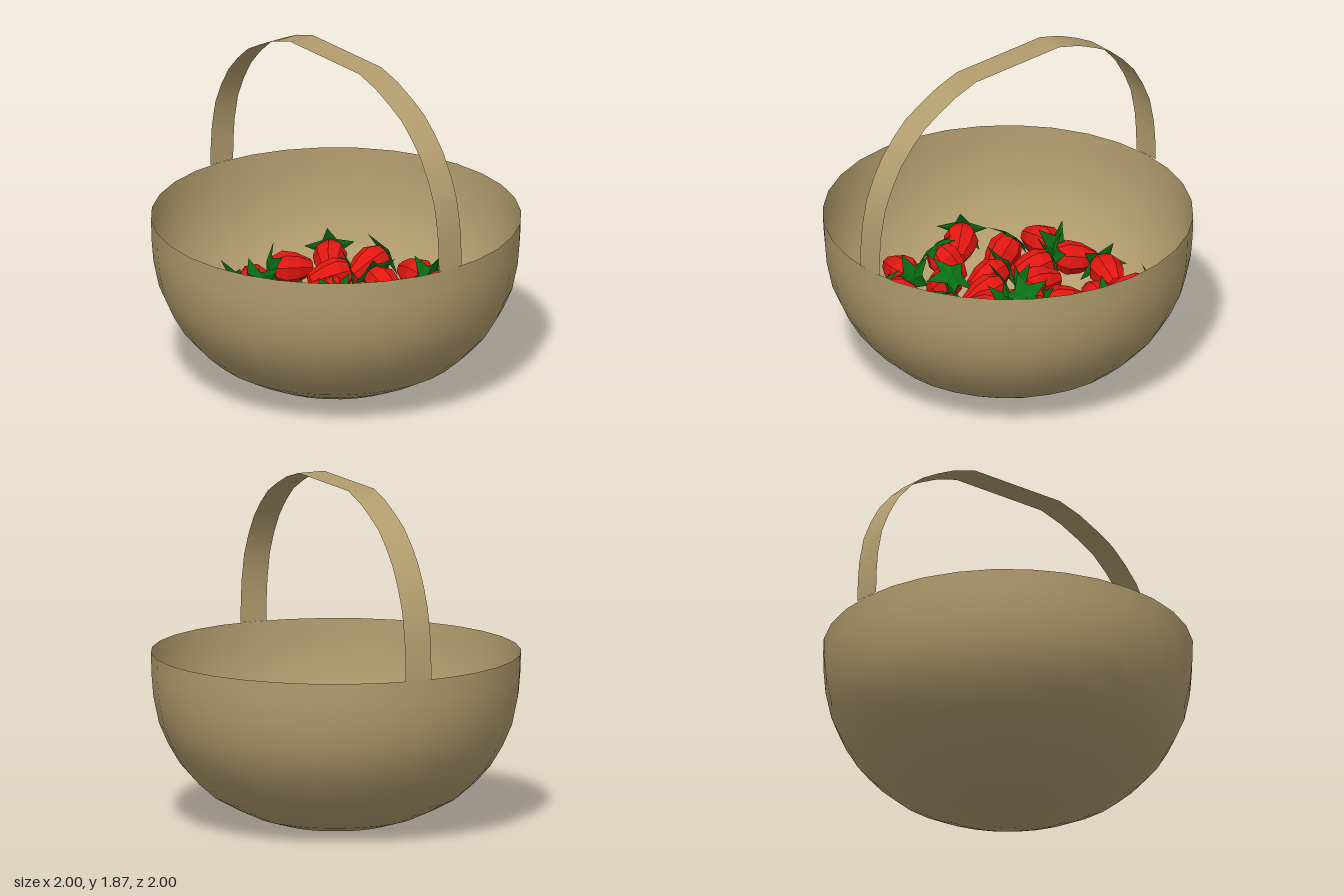
import * as THREE from 'three';

const mat = (color, opts = {}) => new THREE.MeshStandardMaterial({ color, ...opts });
const basketMat = mat(0xb39d6e, { side: THREE.DoubleSide });
const berryMat = mat(0xe01610, { flatShading: true });
const leafMat = mat(0x0a6e14, { flatShading: true, side: THREE.DoubleSide });

// Half outline shared by the bowl and, mirrored upward, by the handle: [radius, height]
const RIM = 0.935;
const PROFILE = [[0.3, 0.004], [0.44, 0.045], [0.56, 0.1], [0.67, 0.16], [0.76, 0.24],
  [0.84, 0.33], [0.905, 0.44], [0.955, 0.555], [0.985, 0.7], [0.995, 0.82], [0.998, RIM]];

// Berries seen from above: [x, z, heading of the stem end, upward pitch] in degrees
const BERRIES = [
  [-0.36, -0.56, 0, 5], [-0.11, -0.58, 120, 10], [0.15, -0.59, 200, 5], [0.38, -0.54, -50, 10],
  [-0.41, -0.32, -90, 45], [-0.21, -0.36, -75, 10], [0.27, -0.4, 20, 10], [0.5, -0.36, 0, 20],
  [-0.62, -0.21, -130, 15], [-0.53, -0.04, 150, 50], [-0.3, -0.12, -90, 10], [-0.19, 0, -80, 15],
  [0.18, -0.25, 120, 5], [0.42, -0.11, -90, 20], [0.62, -0.1, 95, 5], [0.25, 0.01, 85, 15],
  [-0.37, 0.14, 0, 55], [-0.61, 0.23, 10, 5], [-0.41, 0.39, 130, 25], [-0.17, 0.34, -90, 10],
  [0.12, 0.35, -90, 10], [0.3, 0.35, -85, 10], [0.49, 0.39, 10, 40], [0.62, 0.18, -95, 5],
  [0.4, 0.14, 180, 15], [-0.25, 0.55, 95, 50], [0.28, 0.58, 110, 50], [0.09, 0.57, 180, 15],
  [-0.08, -0.3, 100, 5], [0.16, 0.13, -90, 15], [-0.08, 0.09, -20, 20], [0.02, -0.14, 60, 35],
];

function makeBowl() {
  const points = [[0, 0], [0.2, 0], ...PROFILE].map(([r, y]) => new THREE.Vector2(r, y));
  const bowl = new THREE.Mesh(new THREE.LatheGeometry(points, 32), basketMat);
  bowl.name = 'basketBowl';
  return bowl;
}

// Flat strip following the mirrored outline from the back rim to the front rim
function makeHandle() {
  const side = PROFILE.map(([r, y]) => [r, 2 * RIM - y]);
  const path = [...side.map(([r, y]) => [-r, y]).reverse(), ...side.slice().map(([r, y]) => [r, y])];
  const geo = new THREE.PlaneGeometry(0.155, 1, 1, path.length - 1);
  const pos = geo.attributes.position;
  for (let i = 0; i < pos.count; i++) {
    const [z, y] = path[Math.floor(i / 2)];
    pos.setXYZ(i, pos.getX(i), y, z);
  }
  geo.computeVertexNormals();
  const handle = new THREE.Mesh(geo, basketMat);
  handle.name = 'basketHandle';
  return handle;
}

// Faceted berry, tip down and stem end up
const berryGeo = new THREE.LatheGeometry(
  [[0, -0.125], [0.045, -0.115], [0.083, -0.03], [0.094, 0.045], [0.065, 0.105], [0, 0.115]]
    .map(([r, y]) => new THREE.Vector2(r, y)), 8);

// Five-pointed leaf cap with drooping tips
const leafGeo = new THREE.CircleGeometry(1, 10).rotateX(-Math.PI / 2);
{
  const pos = leafGeo.attributes.position;
  for (let i = 1; i < pos.count; i++) {
    const tip = i % 2 === 1;
    const r = tip ? 0.145 : 0.065;
    pos.setXYZ(i, pos.getX(i) * r, tip ? -0.035 : -0.005, pos.getZ(i) * r);
  }
  leafGeo.translate(0, 0.122, 0);
  leafGeo.computeVertexNormals();
}

function makeBerry(x, y, z, heading, pitch, spin) {
  const h = THREE.MathUtils.degToRad(heading);
  const p = THREE.MathUtils.degToRad(pitch);
  const axis = new THREE.Vector3(Math.cos(h) * Math.cos(p), Math.sin(p), Math.sin(h) * Math.cos(p));
  const berry = new THREE.Group();
  berry.name = 'strawberry';
  const fruit = new THREE.Mesh(berryGeo, berryMat);
  fruit.name = 'fruit';
  const leaves = new THREE.Mesh(leafGeo, leafMat);
  leaves.name = 'leaves';
  leaves.rotation.y = spin;
  berry.add(fruit, leaves);
  berry.quaternion.setFromUnitVectors(new THREE.Vector3(0, 1, 0), axis);
  berry.position.set(x, y, z);
  return berry;
}

export function createModel() {
  const model = new THREE.Group();
  model.name = 'strawberryBasket';
  model.add(makeBowl(), makeHandle());

  // Top layer of the pile
  const pile = new THREE.Group();
  pile.name = 'strawberries';
  BERRIES.forEach(([x, z, heading, pitch], i) => {
    pile.add(makeBerry(x, 0.36 + 0.14 * (x * x + z * z), z, heading, pitch, i * 1.3));
  });
  // Lower layer resting on the floor of the basket
  for (let i = 0; i < 8; i++) {
    const a = (i / 8) * Math.PI * 2;
    pile.add(makeBerry(Math.cos(a) * 0.34, 0.19, Math.sin(a) * 0.34, i * 77, 10, i));
  }
  model.add(pile);
  return model;
}
